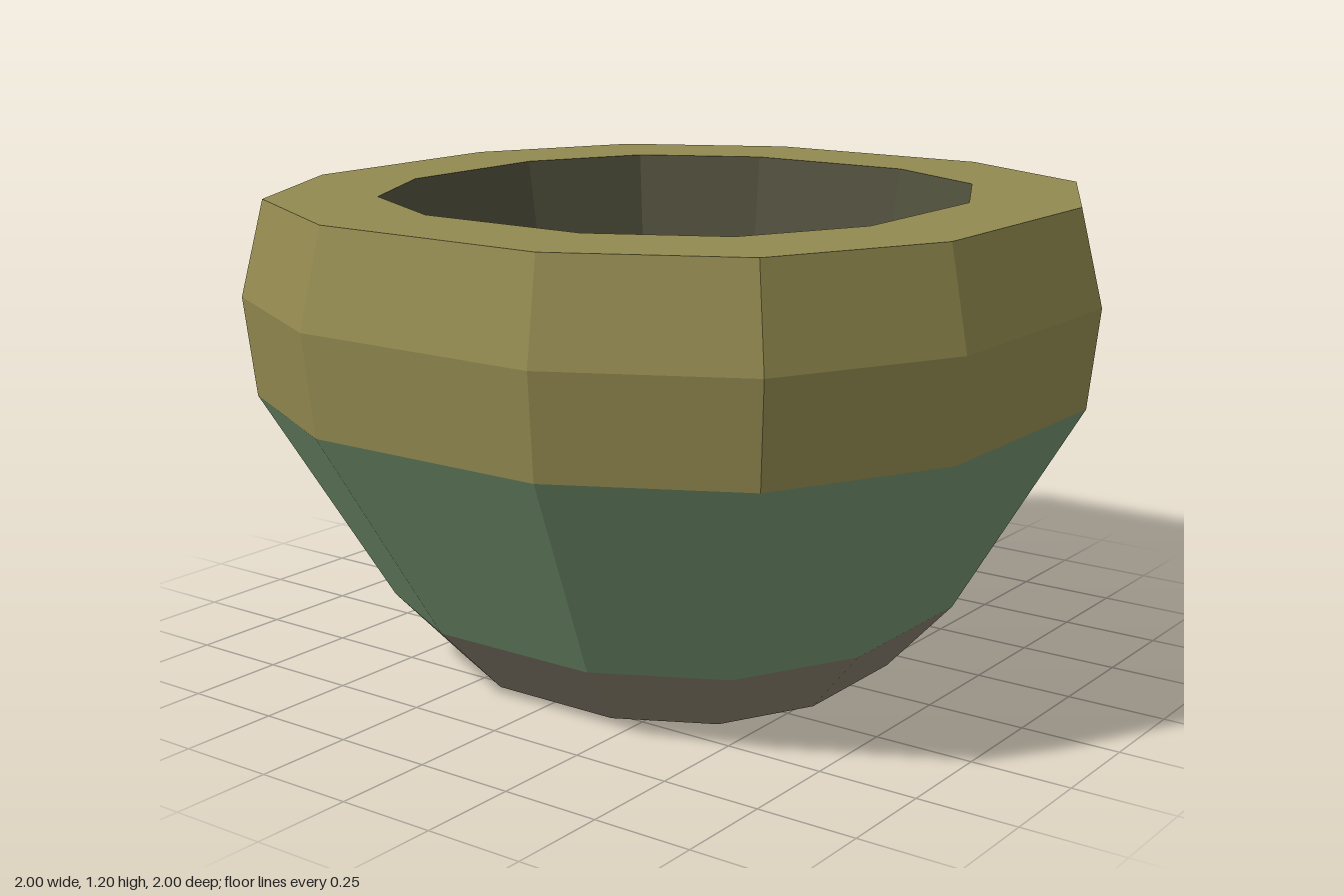
import * as THREE from 'three';

// Corners of a twelve-sided ring with four wide flats, half-width r at height y
function ring(r, y) {
  const a = r * 0.333, b = r * 0.772;
  const quarter = [[a, r], [b, b], [r, a]];
  const points = [];
  for (let q = 0; q < 4; q++) {
    for (const [x, z] of quarter) {
      const [px, pz] = [[x, z], [z, -x], [-x, -z], [-z, x]][q];
      points.push(new THREE.Vector3(px, y, pz));
    }
  }
  return points;
}

// Skin through rings [halfWidth, height]; a zero half-width closes to the centre
function band(name, material, profile) {
  const rings = profile.map(([r, y]) => ring(r, y));
  const positions = [];
  const add = (...pts) => pts.forEach((p) => positions.push(p.x, p.y, p.z));
  for (let i = 0; i < rings.length - 1; i++) {
    const lower = rings[i], upper = rings[i + 1];
    for (let j = 0; j < 12; j++) {
      const k = (j + 1) % 12;
      if (profile[i][0] > 0) add(lower[j], lower[k], upper[k]);
      if (profile[i + 1][0] > 0) add(lower[j], upper[k], upper[j]);
    }
  }
  const geometry = new THREE.BufferGeometry();
  geometry.setAttribute('position', new THREE.Float32BufferAttribute(positions, 3));
  geometry.computeVertexNormals();
  const mesh = new THREE.Mesh(geometry, material);
  mesh.name = name;
  return mesh;
}

export function createModel() {
  const paint = (name, color) =>
    new THREE.MeshStandardMaterial({ name, color, flatShading: true });
  const ochre = paint('ochre glaze', 0x938a50);
  const green = paint('green glaze', 0x759470);
  const clay = paint('bare clay', 0x877f6d);
  const dark = paint('dark interior', 0x51503e);

  const bowl = new THREE.Group();
  bowl.name = 'bowl';
  bowl.add(
    // Underside and foot
    band('foot', clay, [[0, 0], [0.525, 0], [0.68, 0.175]]),
    // Flaring side
    band('body', green, [[0.68, 0.175], [0.975, 0.71]]),
    // Thick collar with its flat top
    band('rim', ochre, [[0.975, 0.71], [1, 0.96], [0.945, 1.2], [0.69, 1.2]]),
    // Hollow and its floor
    band('interior', dark, [[0.69, 1.2], [0.63, 0.86], [0.465, 0.3], [0, 0.3]]),
  );
  return bowl;
}
